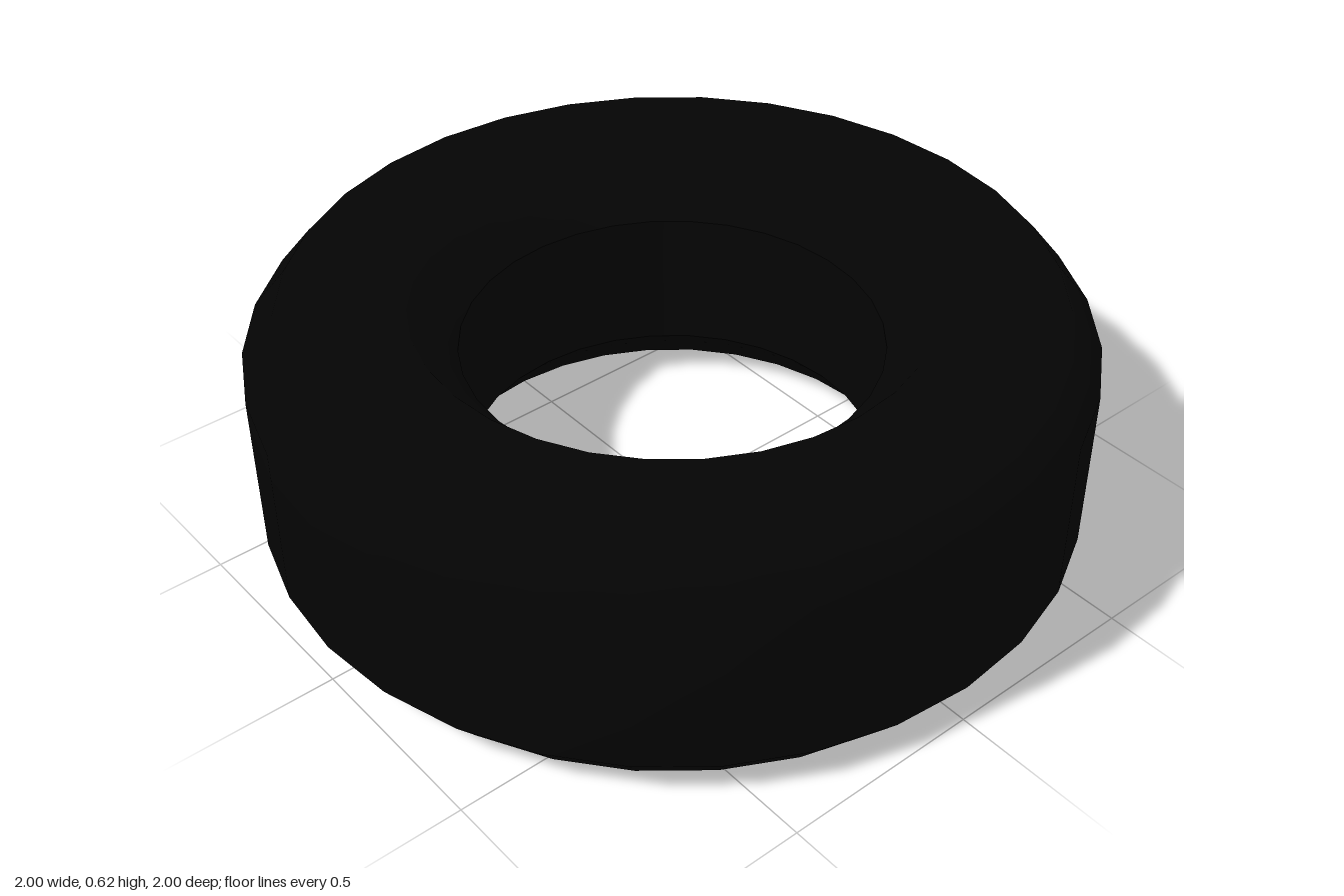
import * as THREE from 'three';

const SIDES = 32;

export function createModel() {
  const model = new THREE.Group();
  model.name = 'tyre';

  const rubber = new THREE.MeshStandardMaterial({ color: 0x040404 });
  rubber.name = 'black rubber';

  // Spins a [radius, height] profile around the upright axis
  const addRing = (name, profile) => {
    const points = profile.map(([r, y]) => new THREE.Vector2(r, y));
    const mesh = new THREE.Mesh(new THREE.LatheGeometry(points, SIDES), rubber);
    mesh.name = name;
    model.add(mesh);
  };

  // Bevelled lips, sidewalls, chamfered shoulders and tread, from bottom to top
  addRing('treadAndSidewalls', [
    [0.505, 0.13], [0.62, 0], [0.92, 0], [1, 0.1],
    [1, 0.52], [0.92, 0.62], [0.62, 0.62], [0.505, 0.49],
  ]);

  // Wall of the centre hole, facing inwards
  addRing('innerWall', [[0.505, 0.49], [0.505, 0.13]]);

  return model;
}
